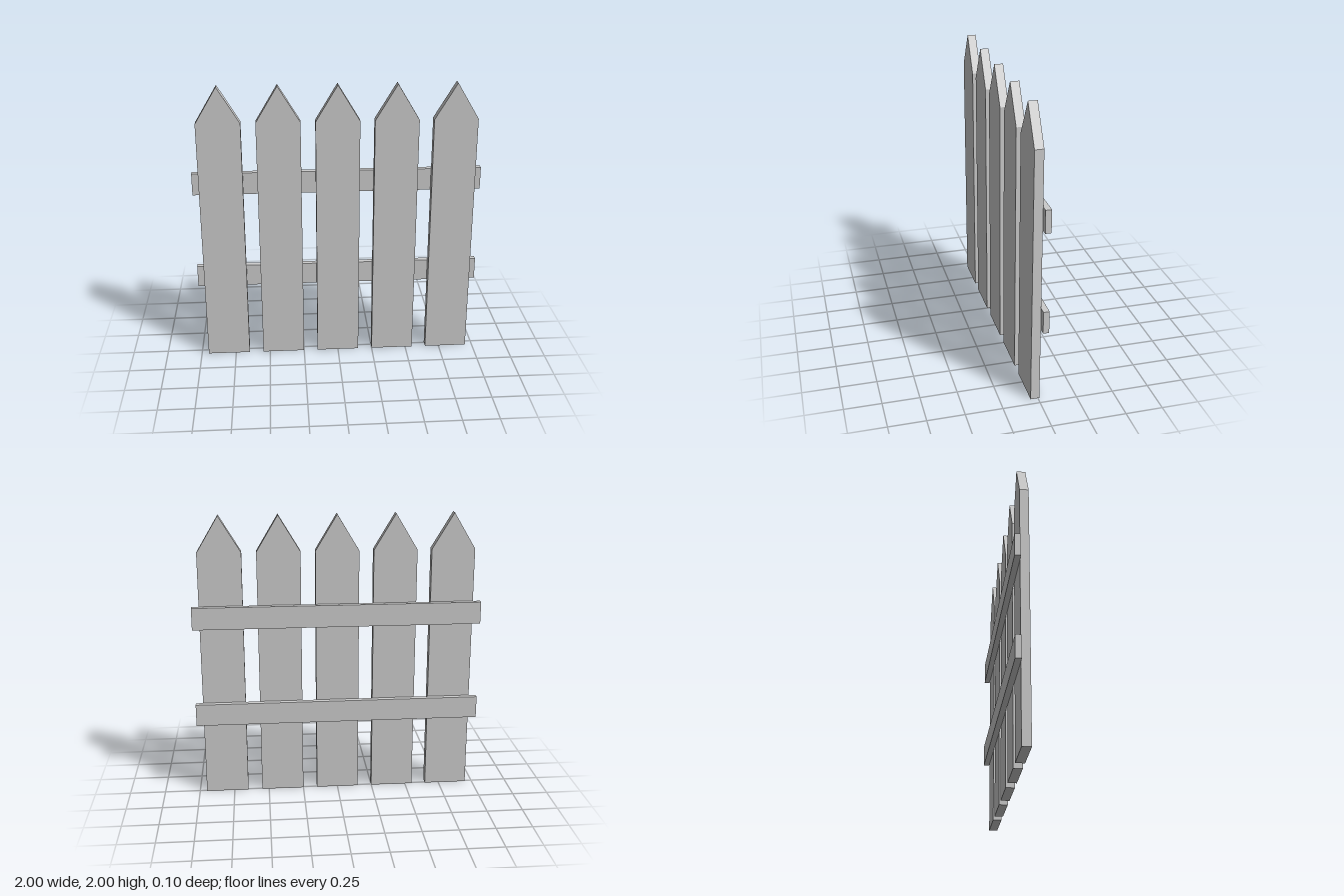
import * as THREE from 'three';

export function createModel() {
  const fence = new THREE.Group();
  fence.name = 'picketFence';
  const material = new THREE.MeshStandardMaterial({ color: 0xcccccc, flatShading: true });

  // Pointed picket outline, extruded to board thickness
  const halfWidth = 0.15, shoulder = 1.75, tip = 2;
  const outline = new THREE.Shape([
    new THREE.Vector2(-halfWidth, 0),
    new THREE.Vector2(halfWidth, 0),
    new THREE.Vector2(halfWidth, shoulder),
    new THREE.Vector2(0, tip),
    new THREE.Vector2(-halfWidth, shoulder),
  ]);
  const picketGeometry = new THREE.ExtrudeGeometry(outline, { depth: 0.06, bevelEnabled: false });

  // Five evenly spaced pickets
  for (let i = 0; i < 5; i++) {
    const picket = new THREE.Mesh(picketGeometry, material);
    picket.name = `picket${i + 1}`;
    picket.position.set((i - 2) * 0.4, 0, -0.01);
    fence.add(picket);
  }

  // Two horizontal rails fixed behind the pickets
  const railGeometry = new THREE.BoxGeometry(2, 0.155, 0.04);
  for (const [name, y] of [['lowerRail', 0.603], ['upperRail', 1.303]]) {
    const rail = new THREE.Mesh(railGeometry, material);
    rail.name = name;
    rail.position.set(0, y, -0.03);
    fence.add(rail);
  }

  return fence;
}
